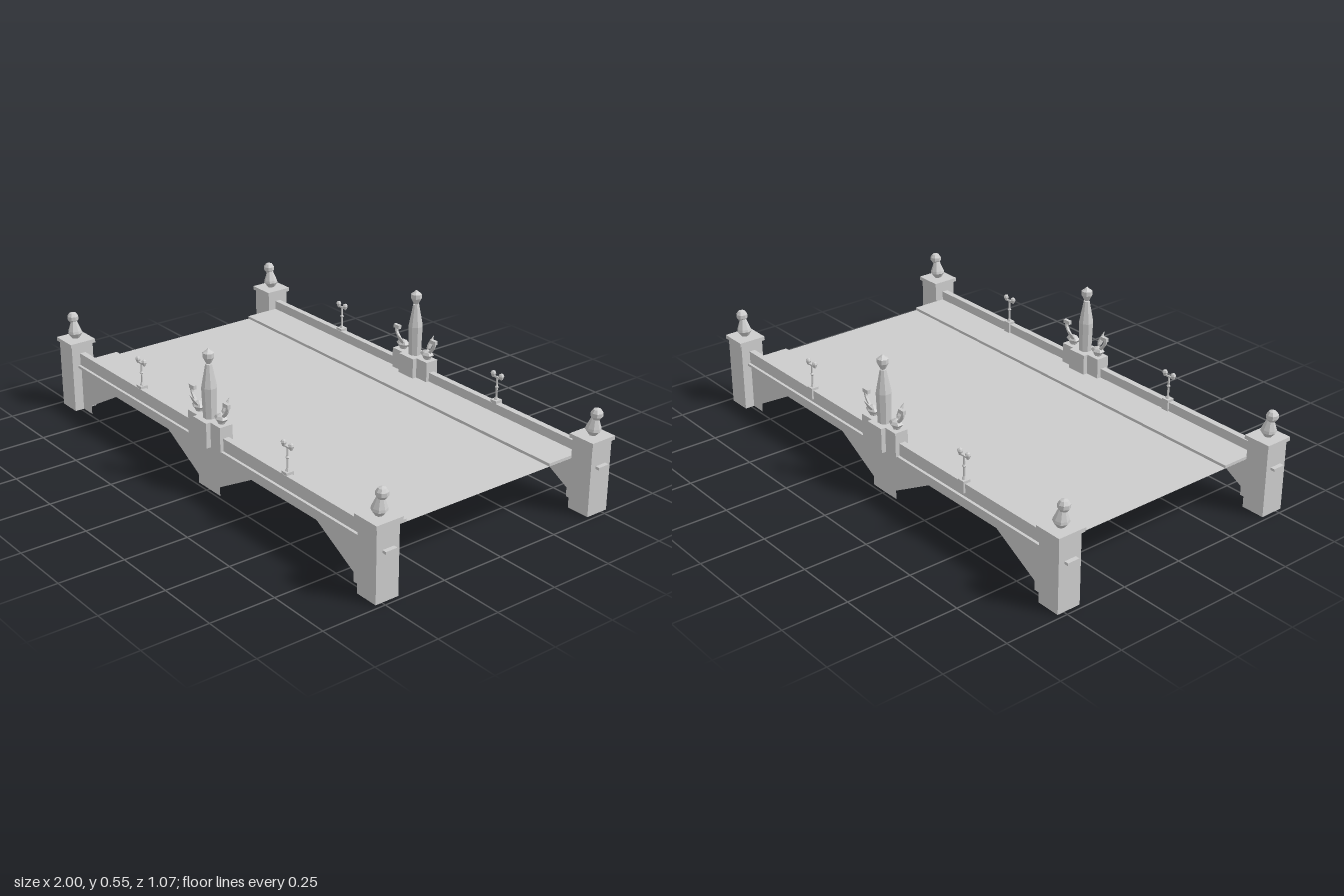
import * as THREE from 'three';

const stone = new THREE.MeshStandardMaterial({ color: 0xcccccc, flatShading: true, side: THREE.DoubleSide });
stone.name = 'grey stone';

function add(parent, name, geometry, x = 0, y = 0, z = 0) {
  const mesh = new THREE.Mesh(geometry, stone);
  mesh.name = name;
  mesh.position.set(x, y, z);
  parent.add(mesh);
  return mesh;
}

function group(parent, name, x, y, z) {
  const g = new THREE.Group();
  g.name = name;
  g.position.set(x, y, z);
  parent.add(g);
  return g;
}

// box given by its bottom centre
function block(parent, name, w, h, d, x, y, z) {
  return add(parent, name, new THREE.BoxGeometry(w, h, d), x, y + h / 2, z);
}

const lathe = (points, sides) =>
  new THREE.LatheGeometry(points.map(([r, y]) => new THREE.Vector2(r, y)), sides);

function flatShape(points) {
  return new THREE.ShapeGeometry(new THREE.Shape(points.map(([x, y]) => new THREE.Vector2(x, y))));
}

// hollow corner pillar with a cap and an outward leaning finial
function addPillar(parent, side, z) {
  const p = group(parent, 'cornerPillar', side * 0.936, 0, z);
  const shaft = new THREE.CylinderGeometry(0.0665, 0.0665, 0.275, 4, 1, true).rotateY(Math.PI / 4);
  add(p, 'pillarShaft', shaft, 0, 0.1375, 0);
  block(p, 'pillarCap', 0.11, 0.015, 0.11, 0, 0.273, 0);
  const body = lathe([[0, 0], [0.014, 0.002], [0.029, 0.022], [0.027, 0.032], [0.012, 0.072], [0, 0.076]], 8);
  add(p, 'finialBody', body, 0, 0.287, 0).rotation.z = -side * 0.1;
  const ball = lathe([[0, -0.023], [0.014, -0.018], [0.022, -0.007], [0.022, 0.007], [0.014, 0.019], [0, 0.024]], 8);
  add(p, 'finialBall', ball, side * 0.014, 0.37, 0);
}

// bird facing +x with one raised wing
function addBird(parent, side) {
  const b = group(parent, 'birdStatue', side * 0.07, 0.284, 0);
  b.rotation.y = side > 0 ? 0 : Math.PI;
  const body = lathe([[0, 0], [0.016, 0.001], [0.02, 0.01], [0.031, 0.021], [0.022, 0.031], [0, 0.04]], 6);
  body.scale(1, 1, 0.75);
  add(b, 'birdBody', body);
  const neck = new THREE.CatmullRomCurve3([
    new THREE.Vector3(0.008, 0.025, 0), new THREE.Vector3(0.028, 0.045, 0),
    new THREE.Vector3(0.04, 0.065, 0), new THREE.Vector3(0.04, 0.082, 0)]);
  add(b, 'birdNeck', new THREE.TubeGeometry(neck, 6, 0.007, 5));
  block(b, 'birdHead', 0.03, 0.015, 0.013, 0.036, 0.073, 0);
  const wing = lathe([[0, 0], [0.011, 0.014], [0.013, 0.028], [0.007, 0.05], [0, 0.068]], 4);
  wing.scale(1, 1, 0.45);
  const w = add(b, 'birdWing', wing, -0.012, 0.025, -0.012);
  w.rotation.set(-0.62, 0, 0.12);
}

// stepped pedestal with obelisk and two birds
function addMonument(parent, z) {
  const m = group(parent, 'centreMonument', 0, 0, z - 0.002);
  block(m, 'centrePedestal', 0.082, 0.096, 0.09, 0, 0.188, 0);
  block(m, 'sidePedestals', 0.2, 0.094, 0.054, 0, 0.19, 0);
  const obelisk = lathe([[0, 0.283], [0.025, 0.283], [0.029, 0.4], [0.012, 0.488], [0, 0.49]], 8);
  obelisk.rotateY(Math.PI / 8);
  add(m, 'obelisk', obelisk);
  const tip = lathe([[0, 0.488], [0.009, 0.49], [0.021, 0.513], [0.021, 0.53], [0.012, 0.536], [0, 0.547]], 8);
  add(m, 'obeliskFinial', tip);
  for (const side of [-1, 1]) addBird(m, side);
}

// twin lamp on a small plinth
function addLamp(parent, x, z) {
  const l = group(parent, 'lampPost', x, 0, z - 0.004);
  block(l, 'lampPlinth', 0.03, 0.045, 0.03, 0, 0.205, 0);
  const post = lathe([[0, 0.245], [0.009, 0.25], [0.004, 0.262], [0.004, 0.295], [0.008, 0.3],
    [0.004, 0.306], [0.004, 0.34], [0, 0.345]], 6);
  add(l, 'lampStem', post);
  block(l, 'lampArm', 0.044, 0.006, 0.006, 0, 0.335, 0);
  for (const side of [-1, 1]) {
    const bulb = lathe([[0, -0.016], [0.006, -0.011], [0.011, 0.002], [0.008, 0.009], [0, 0.013]], 6);
    add(l, 'lampHead', bulb, side * 0.021, 0.347, 0);
  }
}

export function createModel() {
  const bridge = new THREE.Group();
  bridge.name = 'bridge';

  // road surface
  add(bridge, 'roadDeck', new THREE.PlaneGeometry(1.78, 0.97).rotateX(-Math.PI / 2), 0, 0.193, 0);

  // half outline of the arched side, mirrored about the middle
  const half = [[0.89, 0.186], [0.89, 0], [0.825, 0], [0.825, 0.035], [0.63, 0.142],
    [0.262, 0.142], [0.068, 0.035], [0.068, 0]];
  const outline = [...half, ...half.map(([x, y]) => [-x, y]).reverse()];

  for (const s of [-1, 1]) {
    const z = s * 0.479;
    const name = s > 0 ? 'frontSide' : 'backSide';
    const g = group(bridge, name, 0, 0, 0);
    add(g, 'archedWall', flatShape(outline), 0, 0, s * 0.488);
    block(g, 'ledge', 2, 0.01, 0.048, 0, 0.181, s * 0.478);
    block(g, 'parapet', 1.78, 0.05, 0.024, 0, 0.19, z);
    block(g, 'sidewalk', 1.78, 0.011, 0.145, 0, 0.1932, s * 0.3965);
    for (const side of [-1, 1]) {
      addPillar(g, side, z);
      addLamp(g, side * 0.455, z);
    }
    addMonument(g, z);
  }
  return bridge;
}
